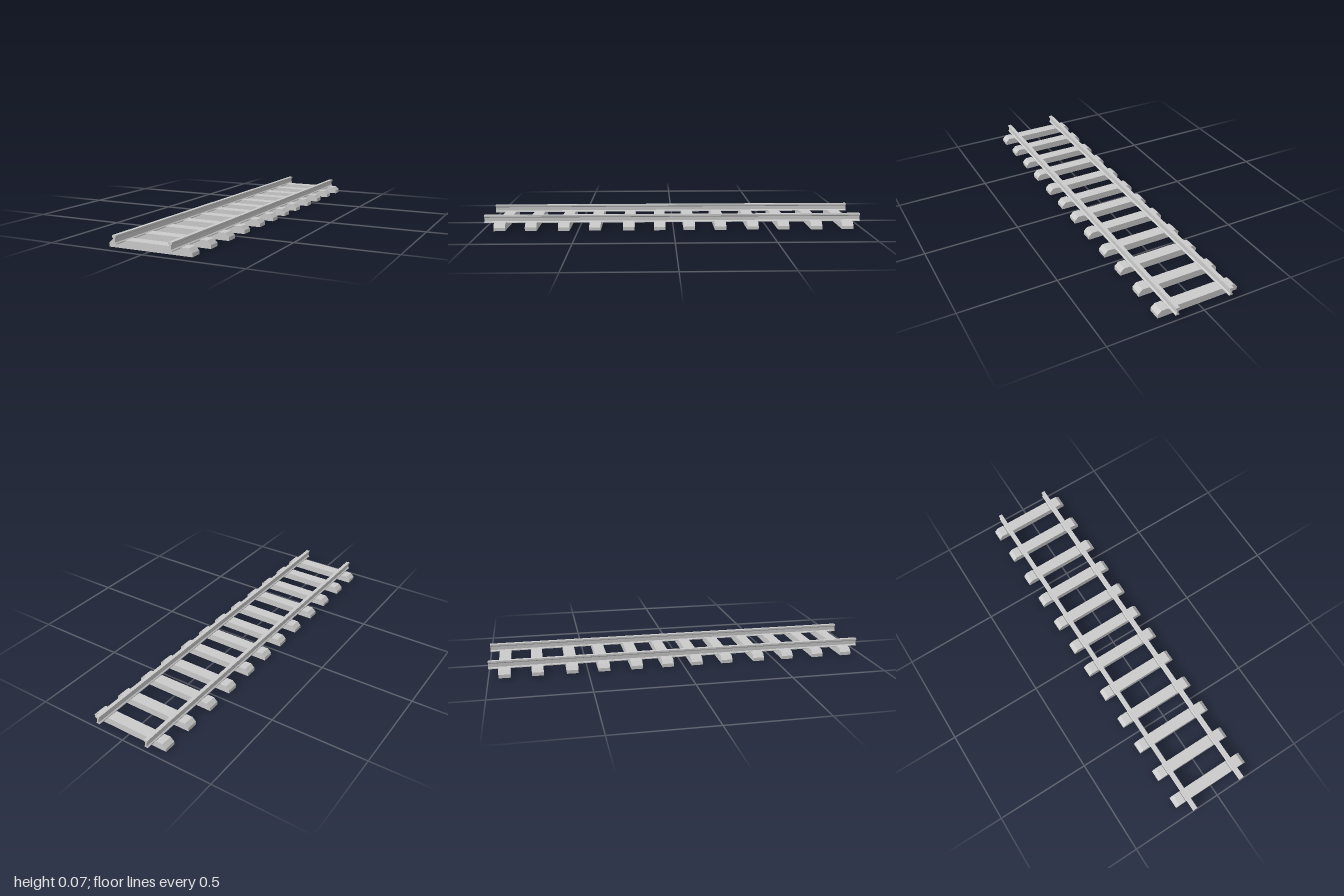
import * as THREE from 'three';

const material = new THREE.MeshStandardMaterial({ color: 0xcccccc, flatShading: true });
const RAIL_X = 0.145;

// Extrudes the right half of an outline, mirrored in x, along z and centred on z = 0
function extrudeMirrored(half, depth) {
  const left = half.map(([x, y]) => [-x, y]).reverse();
  const shape = new THREE.Shape([...half, ...left].map(([x, y]) => new THREE.Vector2(x, y)));
  const geometry = new THREE.ExtrudeGeometry(shape, { depth, bevelEnabled: false });
  return geometry.translate(0, 0, -depth / 2);
}

export function createModel() {
  const track = new THREE.Group();
  track.name = 'railwayTrack';

  // Sleepers: chamfered ends and a shallow seat under each rail
  const sleeperGeometry = extrudeMirrored([
    [0.217, 0], [0.217, 0.018], [0.198, 0.037],
    [RAIL_X + 0.017, 0.037], [RAIL_X + 0.013, 0.03],
    [RAIL_X - 0.013, 0.03], [RAIL_X - 0.017, 0.037],
  ], 0.06);
  const sleeperZ = [-0.92, -0.755, -0.58, -0.418, -0.247, -0.083, 0.073, 0.236, 0.412, 0.575, 0.747, 0.91];
  const sleepers = new THREE.Group();
  sleepers.name = 'sleepers';
  sleeperZ.forEach((z, i) => {
    const sleeper = new THREE.Mesh(sleeperGeometry, material);
    sleeper.name = `sleeper${i + 1}`;
    sleeper.position.z = z;
    sleepers.add(sleeper);
  });
  track.add(sleepers);

  // Rails: foot, web and head in one I-shaped section
  const railGeometry = extrudeMirrored([
    [0.01, 0.03], [0.01, 0.034], [0.0045, 0.039],
    [0.0045, 0.058], [0.01, 0.063], [0.01, 0.0715],
  ], 2);
  for (const side of [1, -1]) {
    const rail = new THREE.Mesh(railGeometry, material);
    rail.name = side > 0 ? 'leftRail' : 'rightRail';
    rail.position.x = side * RAIL_X;
    track.add(rail);
  }
  return track;
}
